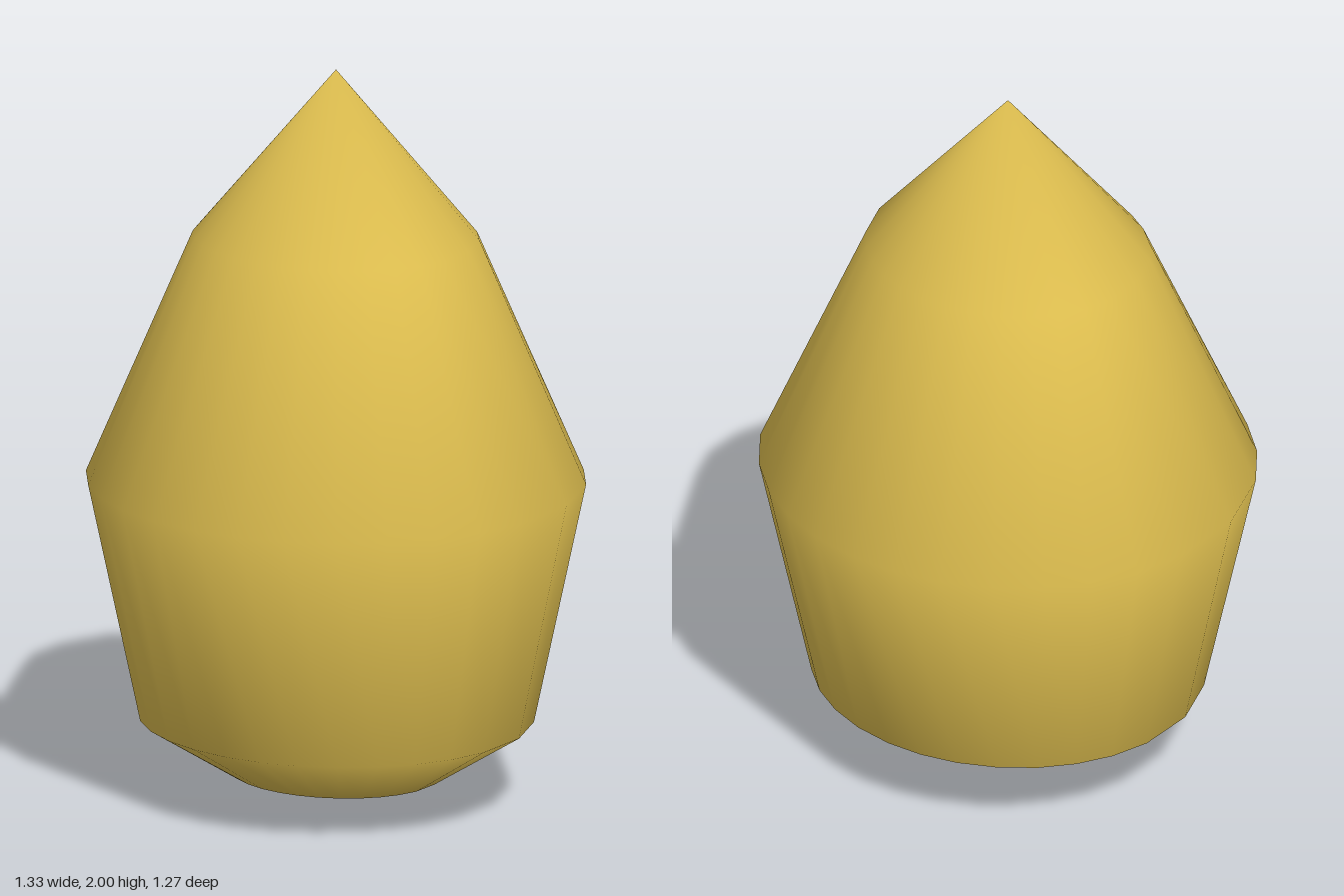
import * as THREE from 'three';
import { mergeVertices } from 'three/addons/utils/BufferGeometryUtils.js';

// Rings from bottom to tip: [height, half width in x, half depth in z]
const RINGS = [
  [0, 0, 0],
  [0.07, 0.285, 0.245],
  [0.225, 0.53, 0.49],
  [0.88, 0.667, 0.635],
  [1.545, 0.385, 0.345],
  [2, 0, 0],
];

// Angles of one quarter turn, in degrees from +x; the sides are wider near x
const QUARTER = [0, 19.2, 31.9, 43.6, 55, 66.8, 78.9];

function ringAngles() {
  const angles = [];
  for (let q = 0; q < 4; q++) {
    for (let i = 0; i < QUARTER.length; i++) {
      const mirrored = i === 0 ? 0 : 90 - QUARTER[QUARTER.length - i];
      angles.push(THREE.MathUtils.degToRad(q * 90 + (q % 2 ? mirrored : QUARTER[i])));
    }
  }
  return angles;
}

export function createModel() {
  const group = new THREE.Group();
  group.name = 'pointedBud';

  // Lathe with its vertices moved onto the elliptical, unevenly spaced rings
  const angles = ringAngles();
  const sides = angles.length;
  let geometry = new THREE.LatheGeometry(RINGS.map(([y, rx]) => new THREE.Vector2(rx, y)), sides);
  const pos = geometry.attributes.position;
  for (let i = 0; i < pos.count; i++) {
    const [y, rx, rz] = RINGS[i % RINGS.length];
    const a = angles[Math.floor(i / RINGS.length) % sides];
    // the lathe turns from +z towards +x, so run the angles the same way
    pos.setXYZ(i, rx * Math.cos(a), y, -rz * Math.sin(a));
  }

  // Weld the seam and the poles for smooth shading all round
  geometry.deleteAttribute('normal');
  geometry.deleteAttribute('uv');
  geometry = mergeVertices(geometry, 1e-4);
  geometry.computeVertexNormals();

  const body = new THREE.Mesh(geometry, new THREE.MeshStandardMaterial({ color: 0xe0c050 }));
  body.name = 'body';
  group.add(body);
  return group;
}
